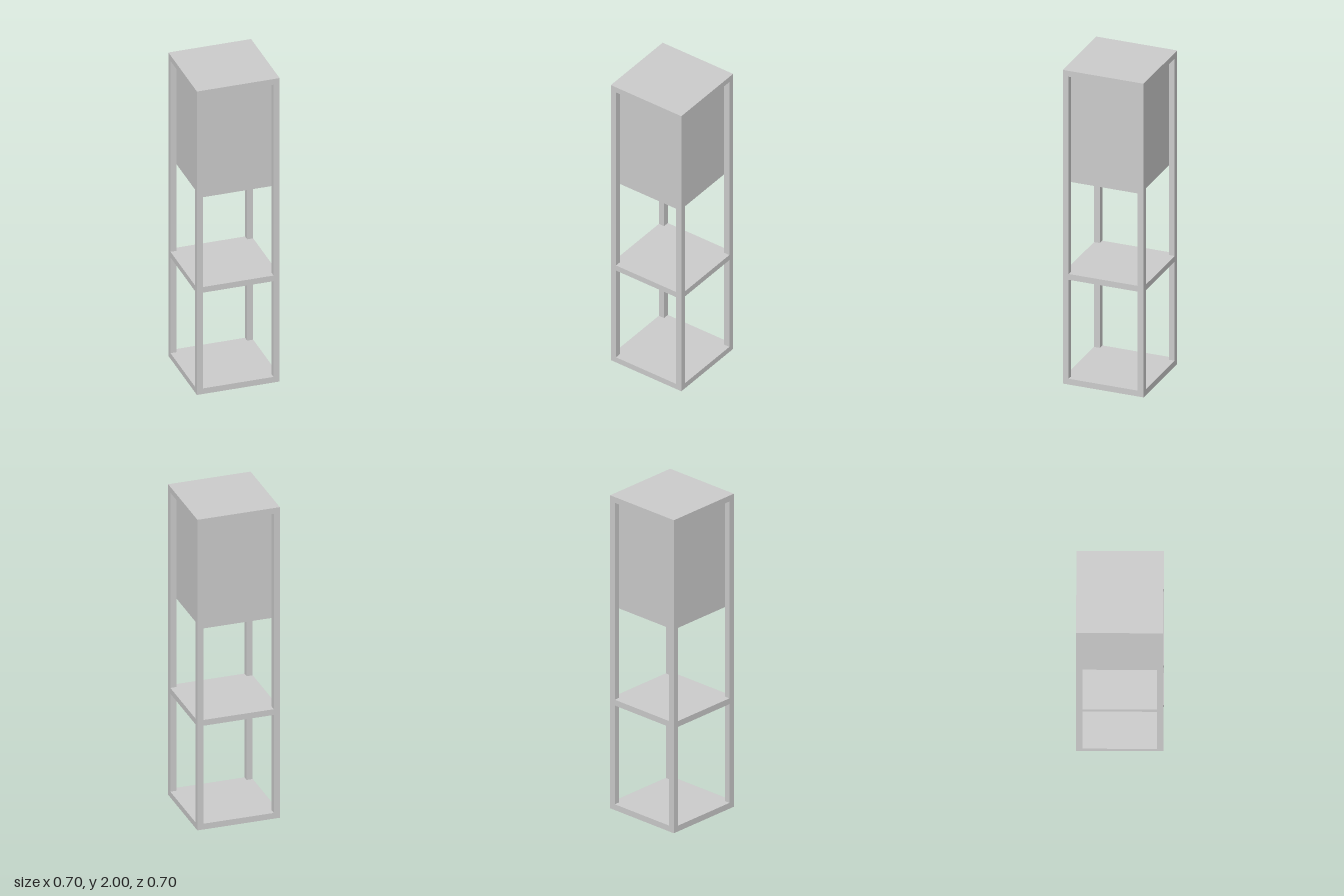
import * as THREE from 'three';

export function createModel() {
  const W = 0.508;   // outer width of the square tower
  const H = 2;
  const T = 0.037;   // thickness of posts and boards
  const inner = W - 2 * T;

  const mat = new THREE.MeshStandardMaterial({ color: 0xcccccc });
  const openMat = new THREE.MeshStandardMaterial({ color: 0xcccccc, side: THREE.DoubleSide });

  const tower = new THREE.Group();
  tower.name = 'shelfLamp';

  // Box given by its footprint and its bottom and top heights
  const addBox = (name, width, y0, y1, x = 0, z = 0) => {
    const mesh = new THREE.Mesh(new THREE.BoxGeometry(width, y1 - y0, width), mat);
    mesh.position.set(x, (y0 + y1) / 2, z);
    mesh.name = name;
    tower.add(mesh);
    return mesh;
  };

  // Base tray, hollow underneath: the downward face is left out
  const base = addBox('baseShelf', W, 0, T);
  const index = Array.from(base.geometry.index.array);
  index.splice(18, 6);
  base.geometry.setIndex(index);
  base.geometry.clearGroups();
  base.material = openMat;

  // Middle shelf and top board, flush with the posts
  const shelfY = 0.668;
  addBox('middleShelf', W, shelfY, shelfY + T);
  addBox('topBoard', W, H - T, H);

  // Corner posts, in two lengths between the boards
  const p = (W - T) / 2;
  for (const sx of [-1, 1]) {
    for (const sz of [-1, 1]) {
      addBox('lowerPost', T, T, shelfY, sx * p, sz * p);
      addBox('upperPost', T, shelfY + T, H - T, sx * p, sz * p);
    }
  }

  // Lamp shade hanging inside the posts
  addBox('lampShade', inner, 1.276, H - T);

  // The tower stands turned on its vertical axis
  tower.rotation.y = -0.589;

  const model = new THREE.Group();
  model.name = 'floorLampWithShelves';
  model.add(tower);
  return model;
}
